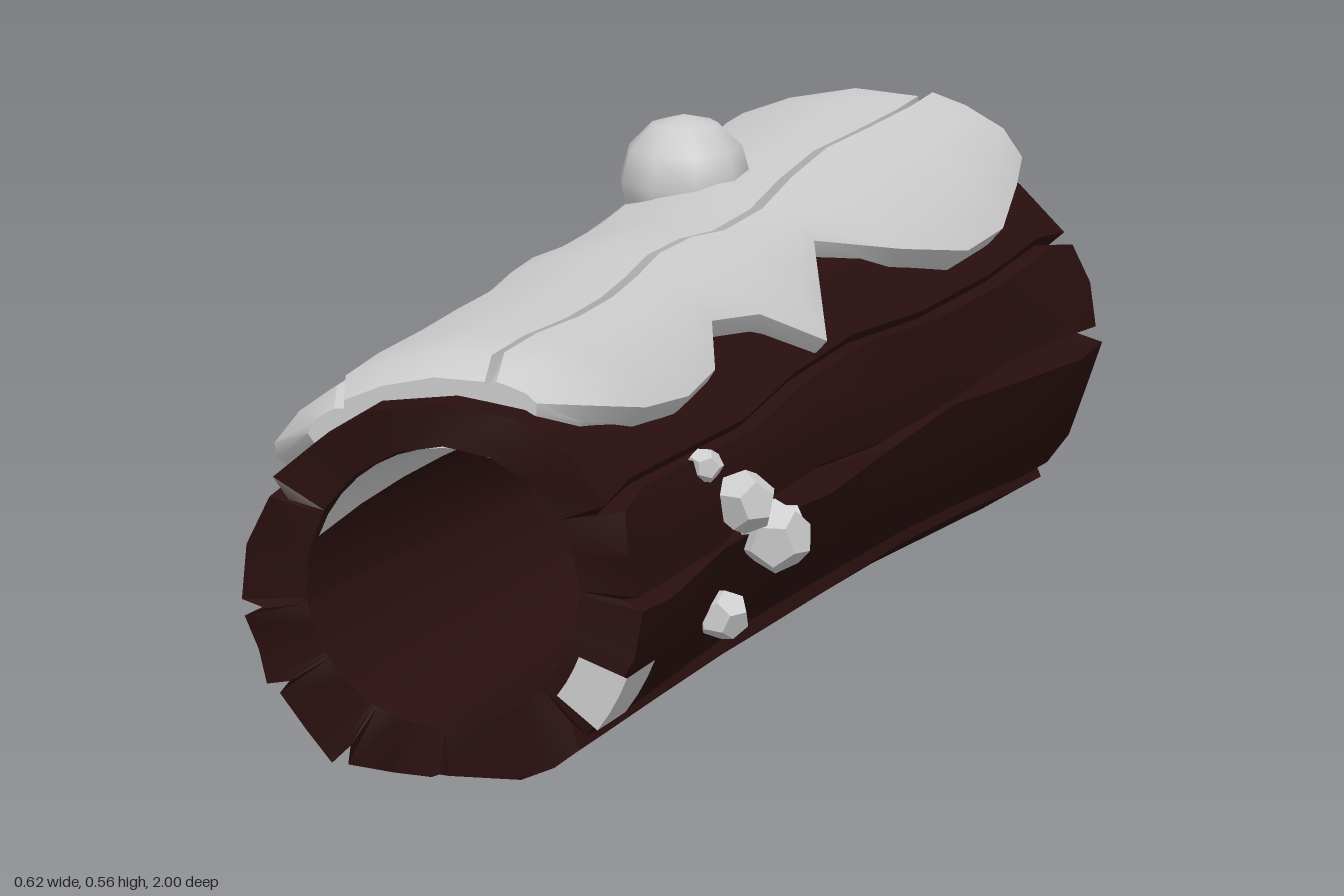
import * as THREE from 'three';
import { toCreasedNormals } from 'three/addons/utils/BufferGeometryUtils.js';

const bark = new THREE.MeshStandardMaterial({ color: 0x2a0f0f });
bark.name = 'dark bark';
const snow = new THREE.MeshStandardMaterial({ color: 0xcccccc, side: THREE.DoubleSide });
snow.name = 'snow';

const rad = THREE.MathUtils.degToRad;
const V = (x, y, z) => new THREE.Vector3(x, y, z);

// Linear lookup in rows of [z, a, b, ...], sorted by falling z
function lookup(rows, z) {
  let i = 0;
  while (i < rows.length - 2 && z < rows[i + 1][0]) i++;
  const [p, q] = [rows[i], rows[i + 1]];
  const t = THREE.MathUtils.clamp((p[0] - z) / (p[0] - q[0]), 0, 1);
  return p.slice(1).map((v, k) => v + (q[k + 1] - v) * t);
}

// Skin a list of equal-length rings that run from +z to -z
function loft(rings, closed = true, crease = 0.5) {
  const n = rings[0].length, index = [];
  for (let i = 0; i < rings.length - 1; i++)
    for (let j = 0; j < (closed ? n : n - 1); j++) {
      const a = i * n + j, b = i * n + (j + 1) % n;
      index.push(a, a + n, b, b, a + n, b + n);
    }
  const g = new THREE.BufferGeometry().setFromPoints(rings.flat());
  g.setIndex(index);
  return toCreasedNormals(g, crease);
}

// Log outline along its length: z, centre x, half width
const SHAPE = [[1, 0.01, 0.25], [0.5, -0.015, 0.25], [0, -0.03, 0.25], [-0.5, -0.025, 0.255], [-0.97, -0.015, 0.268]];
function logPoint(deg, z, scale = 1, extra = 0) {
  const [cx, rx] = lookup(SHAPE, z);
  const c = Math.cos(rad(deg)), s = Math.sin(rad(deg));
  const ry = s < 0 ? 0.25 : 0.23;
  return V(cx + c * (rx * scale + extra), Math.max(0.003, 0.23 + s * (ry * scale + extra)), z);
}

// Angles around the trunk, with a V-shaped crack at each groove
const GROOVES = [0, 30, 150, 188, 212, 240, 270, 316];
const PLAIN = [15, 50, 70, 90, 110, 130, 169, 200, 226, 255, 293, 305, 328, 344];
const AROUND = [
  ...PLAIN.map((a) => ({ a, d: 0 })),
  ...GROOVES.flatMap((a) => [{ a: a - 2.5, d: 0.025 }, { a, d: -1 }, { a: a + 1.5, d: -0.015 }]),
].sort((p, q) => p.a - q.a);

function trunkRing(z) {
  const depth = Math.abs(z) > 0.9 ? 0.11 : 0.06;
  return AROUND.map(({ a, d }, j) => {
    const wander = Math.abs(z) > 0.9 ? 0 : 2.5 * Math.sin(z * 7 + Math.floor(a / 25) * 2);
    const p = logPoint(a + wander, z, d === -1 ? 1 - depth : 1 + d + 0.012 * Math.sin(j * 2.3 + z * 4));
    // Ragged front, and a slanted back end
    if (z === 1) p.z = 1 - 0.012 * (1 + Math.sin(j * 1.7));
    if (z === -0.95) p.z = -0.935 + 0.1 * p.x - 0.12 * (0.23 - p.y) * (p.y < 0.23 ? 1 : -0.1) + 0.012 * Math.sin(j * 1.9);
    return p;
  });
}
const circle = (x, y, z, r) => AROUND.map(({ a }) => V(x + r * Math.cos(rad(a)), y + r * Math.sin(rad(a)), z));

function makeTrunk() {
  const zs = [1, 0.85, 0.6, 0.35, 0.1, -0.15, -0.4, -0.65, -0.85, -0.95];
  return loft([
    circle(0.01, 0.235, 0.2, 0),
    circle(0.01, 0.235, 0.2, 0.13),
    circle(0.01, 0.235, 0.985, 0.172),
    ...zs.map(trunkRing),
    circle(0.06, 0.25, -0.92, 0.1),
    circle(0.06, 0.25, -0.78, 0.08),
    circle(0.06, 0.25, -0.76, 0),
  ]);
}

// Snow cover: z, right edge angle, left edge angle, thickness
const COVER = [
  [0.92, 66, 135, 0.02], [0.86, 55, 150, 0.042], [0.72, 46, 152, 0.042], [0.55, 42, 154, 0.036],
  [0.4, 44, 158, 0.034], [0.25, 56, 160, 0.03], [0.12, 50, 166, 0.034], [0, 34, 172, 0.034],
  [-0.1, 46, 168, 0.028], [-0.25, 61, 156, 0.028], [-0.4, 46, 160, 0.038], [-0.55, 37, 168, 0.046],
  [-0.68, 38, 162, 0.05], [-0.8, 46, 152, 0.058], [-0.89, 52, 146, 0.058], [-0.92, 64, 136, 0.025],
];
function makeCover() {
  const rings = COVER.map(([z, right, left, thick], i) => {
    const g1 = 81 + 2 * Math.sin(i * 1.3), g2 = 121 + 2 * Math.sin(i * 0.9 + 1);
    const mix = (a, b, t) => a + (b - a) * t;
    // Angle and share of the thickness, with two long creases
    const outer = [
      [right, 0.1], [right + 1, 0.65], [mix(right, g1, 0.3), 0.95], [mix(right, g1, 0.65), 1.05],
      [g1 - 2, 1.1], [g1, 0.55], [g1 + 1, 0.95], [mix(g1, g2, 0.35), 1], [mix(g1, g2, 0.7), 1],
      [g2 - 1.5, 1.05], [g2, 0.5], [g2 + 2, 0.9], [mix(g2, left, 0.5), 1], [left - 3, 0.95], [left, 0.65], [left + 0.5, 0],
    ].map(([a, k]) => logPoint(a, z, 1, thick * k));
    const inner = [left, mix(left, right, 0.33), mix(left, right, 0.67), right].map((a) => logPoint(a, z, 0.93));
    return [...outer, ...inner];
  });
  const cap = (ring) => {
    const mid = ring.reduce((s, p) => s.add(p), V(0, 0, 0)).divideScalar(ring.length);
    return ring.map(() => mid.clone());
  };
  return loft([cap(rings[0]), ...rings, cap(rings[rings.length - 1])], true, 0.6);
}

// Drift clinging to the ceiling of the hollow
function makeInnerDrift() {
  const upper = [], lower = [];
  for (let i = 0; i <= 12; i++) {
    const u = i / 12, a = rad(40 + 122 * u), s = Math.sin(Math.PI * u);
    const z = 0.97 - 0.4 * s, r = 0.168 - 0.042 * s;
    upper.push(V(0.01 + 0.168 * Math.cos(a), 0.235 + 0.168 * Math.sin(a), 0.972));
    lower.push(V(0.01 + r * Math.cos(a), 0.235 + r * Math.sin(a), z));
  }
  return loft([lower, upper], false);
}

// Thin snow patch wrapped over the lower front rim
function makeRimPatch() {
  const angles = [322, 328, 334, 339];
  const row = (z, s) => angles.map((a) => logPoint(a, z, s));
  return loft([row(1.003, 0.76), row(1.003, 1.02), row(0.87, 1.025)], false, 0.2);
}

export function createModel() {
  const group = new THREE.Group();
  const add = (name, geometry, material) => {
    const mesh = new THREE.Mesh(geometry, material);
    mesh.name = name;
    group.add(mesh);
    return mesh;
  };

  add('hollowTrunk', makeTrunk(), bark);
  add('snowCover', makeCover(), snow);
  add('innerDrift', makeInnerDrift(), snow);
  add('rimPatch', makeRimPatch(), snow);

  // Rounded lump on the cover
  const mound = add('snowMound', new THREE.SphereGeometry(0.08, 9, 6), snow);
  mound.position.set(-0.11, 0.487, -0.4);
  mound.scale.set(1, 1, 1.15);

  // Small clumps stuck to the left side: x, y, z, radius
  const clumps = [
    [0.225, 0.33, 0.61, 0.024], [0.255, 0.275, 0.54, 0.04], [0.268, 0.22, 0.46, 0.047],
    [0.25, 0.215, 0.36, 0.03], [0.235, 0.14, 0.565, 0.034],
  ];
  clumps.forEach(([x, y, z, r], i) => {
    const g = toCreasedNormals(new THREE.DodecahedronGeometry(r, 0), 0.1);
    const clump = add('snowClump', g, snow);
    clump.position.set(x, y, z);
    clump.rotation.set(i, i * 2, i * 0.7);
    clump.scale.y = 0.9;
  });

  // Splinter at the back end
  const splinter = add('splinter', toCreasedNormals(new THREE.ConeGeometry(0.022, 0.1, 4), 0.1), bark);
  splinter.position.set(-0.05, 0.315, -0.955);
  splinter.rotation.x = -1.2;
  return group;
}
